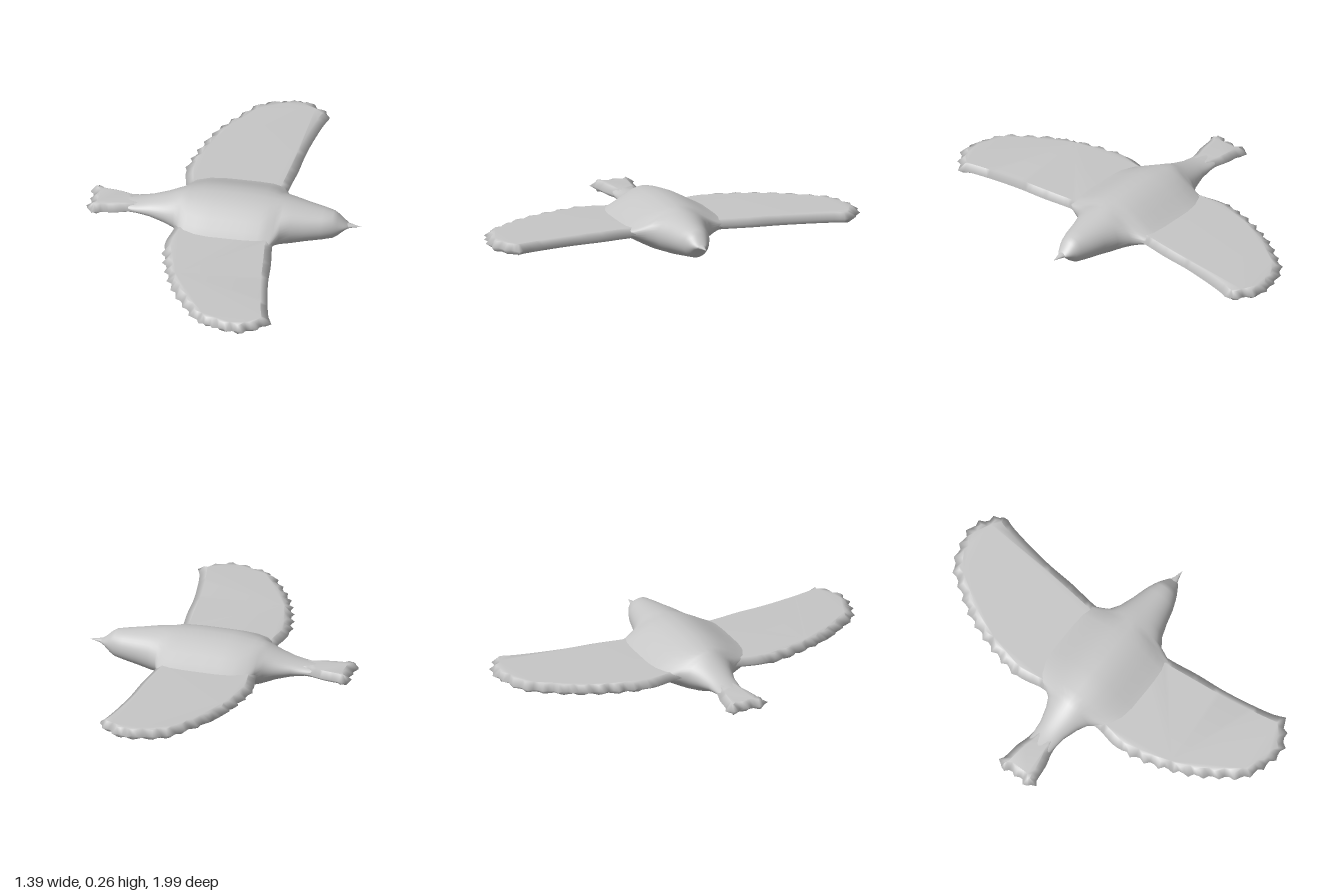
import * as THREE from 'three';

const MID = 0.132; // height of the wing plane
const grey = new THREE.MeshStandardMaterial({ color: 0xc6c6c6 });
grey.name = 'plumage grey';

function finish(name, positions, index) {
  const g = new THREE.BufferGeometry();
  g.setAttribute('position', new THREE.Float32BufferAttribute(positions, 3));
  g.setIndex(index);
  g.computeVertexNormals();
  const mesh = new THREE.Mesh(g, grey);
  mesh.name = name;
  mesh.position.y = MID;
  return mesh;
}

// Loft along x. Station: [x, half width, half height, bell], where bell
// blends an ellipse into a section that flares out into the wings.
function loft(name, stations, sides = 40) {
  const pos = [], idx = [];
  stations.forEach(([x, w, h, bell = 0], i) => {
    for (let j = 0; j < sides; j++) {
      const a = (j / sides) * Math.PI * 2;
      const u = Math.cos(a), s = Math.sin(a);
      const flare = Math.sign(s) * (0.5 + 0.5 * Math.cos(Math.PI * u));
      pos.push(x, h * THREE.MathUtils.lerp(s, flare, bell), w * u);
      if (i < stations.length - 1) {
        const n = (j + 1) % sides;
        const p = i * sides + j, q = i * sides + n;
        idx.push(p, p + sides, q + sides, p, q + sides, q);
      }
    }
  });
  return finish(name, pos, idx);
}

// Flat plate with sloping edges and feather points along part of its rim.
function plate(name, outline, count, half, inset, isFeathered) {
  const curve = new THREE.CatmullRomCurve3(
    outline.map(([x, z]) => new THREE.Vector3(x, z, 0)), true, 'centripetal');
  let ring = curve.getSpacedPoints(count).slice(0, count).map(p => new THREE.Vector2(p.x, p.y));
  if (THREE.ShapeUtils.isClockWise(ring)) ring.reverse();
  const outer = [], inner = [];
  ring.forEach((p, i) => {
    const t = ring[(i + 1) % count].clone().sub(ring[(i + count - 1) % count]).normalize();
    const out = new THREE.Vector2(t.y, -t.x);
    const feather = isFeathered(p.x, Math.abs(p.y));
    const jag = feather ? (i % 3 === 0 ? 0.012 : -0.004 + 0.004 * Math.sin(i * 2.3)) : 0;
    const depth = inset * (feather ? 0.85 + 0.3 * Math.sin(i * 1.7) : 1);
    outer.push(p.clone().addScaledVector(out, jag));
    inner.push(p.clone().addScaledVector(out, -depth));
  });
  const pos = [], idx = [];
  outer.forEach(p => pos.push(p.x, 0, p.y));
  inner.forEach(p => pos.push(p.x, half, p.y));
  inner.forEach(p => pos.push(p.x, -half, p.y));
  for (let i = 0; i < count; i++) {
    const n = (i + 1) % count, T = count, B = 2 * count;
    idx.push(i, T + n, n, i, T + i, T + n);
    idx.push(i, n, B + n, i, B + n, B + i);
  }
  for (const [a, b, c] of THREE.ShapeUtils.triangulateShape(inner, [])) {
    idx.push(count + a, count + c, count + b);
    idx.push(2 * count + a, 2 * count + b, 2 * count + c);
  }
  return finish(name, pos, idx);
}

export function createModel() {
  const bird = new THREE.Group();
  bird.name = 'bird';

  // Body, flaring into the wing roots at mid length
  bird.add(loft('body', [
    [-0.62, 0, 0], [-0.6, 0.05, 0.018], [-0.52, 0.065, 0.026], [-0.45, 0.068, 0.029],
    [-0.38, 0.075, 0.045], [-0.3, 0.1, 0.07], [-0.25, 0.125, 0.094, 0.1],
    [-0.22, 0.17, 0.108, 0.4], [-0.18, 0.3, 0.115, 0.9], [-0.12, 0.35, 0.123, 1],
    [-0.05, 0.36, 0.13, 1], [0.05, 0.36, 0.131, 1], [0.13, 0.36, 0.13, 1],
    [0.2, 0.355, 0.126, 1], [0.24, 0.33, 0.122, 0.95], [0.27, 0.24, 0.119, 0.65],
    [0.3, 0.17, 0.115, 0.2], [0.35, 0.135, 0.106], [0.42, 0.11, 0.094],
    [0.5, 0.088, 0.08], [0.55, 0.068, 0.071], [0.575, 0.056, 0.054],
    [0.605, 0.038, 0.024], [0.625, 0.024, 0.01], [0.63, 0, 0],
  ]));

  // Beak
  bird.add(loft('beak', [
    [0.59, 0.034, 0.014], [0.62, 0.022, 0.013], [0.65, 0.011, 0.007], [0.692, 0, 0],
  ], 12));

  // Wings: leading edge, tip, trailing edge
  const wing = [
    [0.27, 0.05], [0.275, 0.15], [0.28, 0.25], [0.3, 0.4], [0.312, 0.55], [0.335, 0.7],
    [0.36, 0.82], [0.378, 0.885], [0.33, 0.93], [0.24, 0.982], [0.13, 0.968], [0.01, 0.92],
    [-0.06, 0.83], [-0.14, 0.71], [-0.2, 0.57], [-0.24, 0.43], [-0.256, 0.3],
    [-0.235, 0.19], [-0.215, 0.05],
  ];
  const wingFeathers = (x, z) => z > 0.87 || (x < 0.2 && z > 0.32);
  for (const [name, side] of [['rightWing', 1], ['leftWing', -1]]) {
    bird.add(plate(name, wing.map(([x, z]) => [x, z * side]), 105, 0.027, 0.036, wingFeathers));
  }

  // Tail fan with a shallow notch
  const tailSide = [
    [-0.36, 0.06], [-0.42, 0.068], [-0.48, 0.073], [-0.55, 0.092],
    [-0.62, 0.1], [-0.672, 0.106], [-0.692, 0.085], [-0.682, 0.035],
  ];
  const tail = [...tailSide, ...tailSide.map(([x, z]) => [x, -z]).reverse()];
  bird.add(plate('tail', tail, 48, 0.027, 0.034, x => x < -0.64));

  return bird;
}
